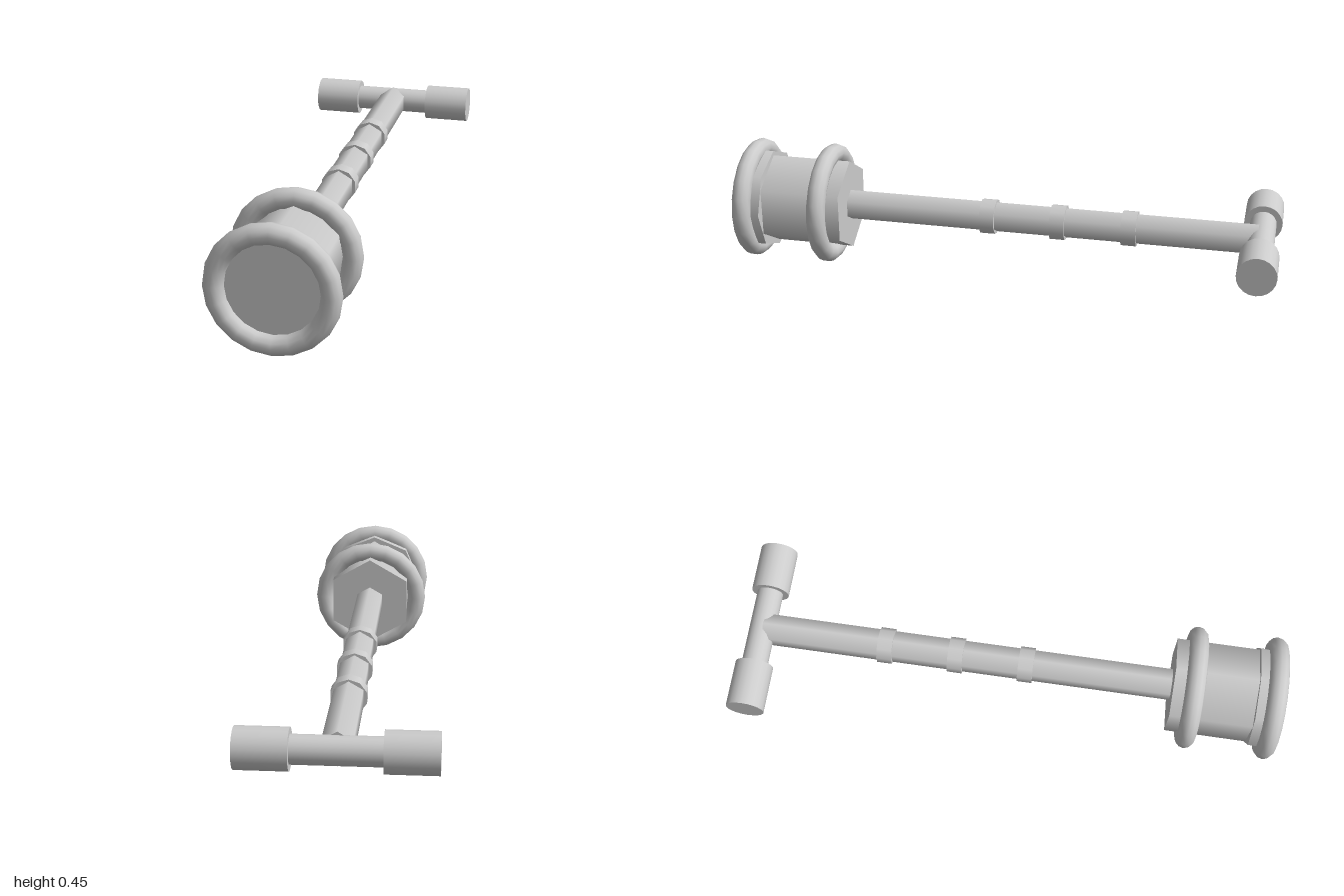
import * as THREE from 'three';

const AXIS_Y = 0.2265;

export function createModel() {
  const group = new THREE.Group();
  const material = new THREE.MeshStandardMaterial({ color: 0xcccccc });

  const add = (name, geometry, x, z) => {
    const mesh = new THREE.Mesh(geometry, material);
    mesh.name = name;
    mesh.position.set(x, AXIS_Y, z);
    group.add(mesh);
  };

  // Prism lying along z between two depths, with a corner pointing down
  const alongZ = (name, radius, sides, z0, z1) =>
    add(name, new THREE.CylinderGeometry(radius, radius, z1 - z0, sides).rotateX(Math.PI / 2), 0, (z0 + z1) / 2);

  // Cylinder lying along x, centred on the crossbar line
  const alongX = (name, radius, length, x) =>
    add(name, new THREE.CylinderGeometry(radius, radius, length, 20).rotateZ(Math.PI / 2), x, -0.931);

  // Head: hexagonal body, front flange and two round rings
  alongZ('headBody', 0.173, 6, 0.6, 0.93);
  alongZ('headFlange', 0.19, 8, 0.9, 0.965);
  for (const [name, z] of [['frontRing', 0.965], ['backRing', 0.675]]) {
    add(name, new THREE.TorusGeometry(0.19, 0.035, 12, 20), 0, z);
  }

  // Hexagonal shaft with three bands
  alongZ('shaft', 0.058, 6, -0.92, 0.61);
  for (const z of [0.063, -0.198, -0.46]) {
    alongZ('shaftBand', 0.065, 10, z - 0.0275, z + 0.0275);
  }

  // Crossbar handle with a thick grip at each end
  alongX('crossbar', 0.048, 0.4, 0);
  for (const side of [-1, 1]) {
    alongX(side > 0 ? 'leftGrip' : 'rightGrip', 0.0695, 0.174, side * 0.233);
  }

  return group;
}
